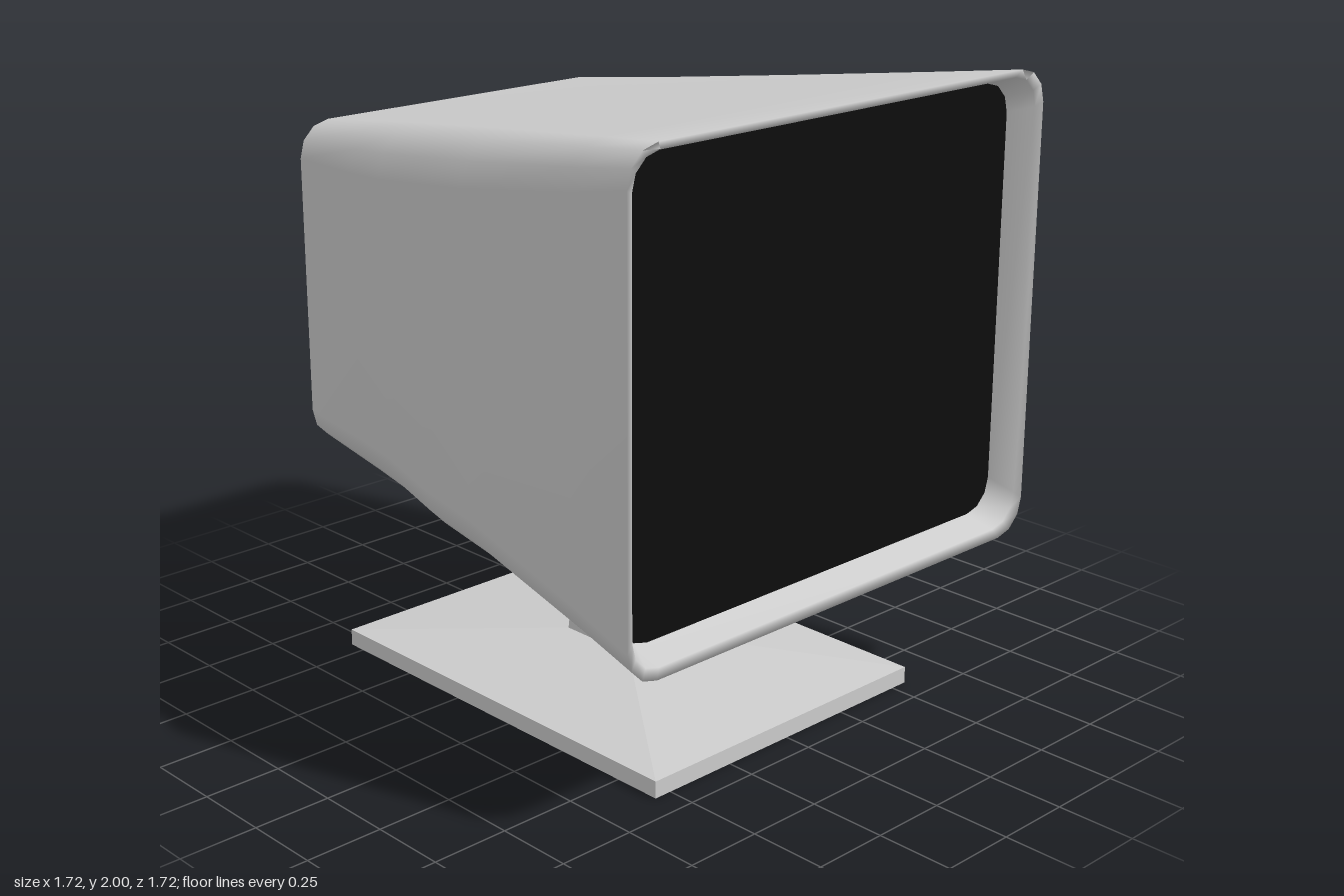
import * as THREE from 'three';

const grey = new THREE.MeshStandardMaterial({ color: 0xcccccc });
const flatGrey = new THREE.MeshStandardMaterial({ color: 0xcccccc, flatShading: true });
const black = new THREE.MeshStandardMaterial({ color: 0x0d0d0d });
const CORNER_STEPS = 3;

// Rounded rectangle in the plane x, counter-clockwise seen from +x
function ring({ x, y0, y1, z, r }) {
  const corners = [[z - r, y0 + r], [z - r, y1 - r], [-z + r, y1 - r], [-z + r, y0 + r]];
  const points = [];
  corners.forEach(([u, v], k) => {
    for (let i = 0; i <= CORNER_STEPS; i++) {
      const a = (k - 1 + i / CORNER_STEPS) * Math.PI / 2;
      points.push([x, v + r * Math.sin(a), -(u + r * Math.cos(a))]);
    }
  });
  return points;
}

function indexed(points, index) {
  const g = new THREE.BufferGeometry();
  g.setAttribute('position', new THREE.Float32BufferAttribute(points.flat(), 3));
  g.setIndex(index);
  g.computeVertexNormals();
  return g;
}

// Skin joining successive rings
function loft(sections) {
  const rings = sections.map(ring);
  const n = rings[0].length;
  const index = [];
  for (let i = 0; i < rings.length - 1; i++) {
    for (let j = 0; j < n; j++) {
      const a = i * n + j, b = i * n + (j + 1) % n;
      index.push(a, b, a + n, b, b + n, a + n);
    }
  }
  return indexed(rings.flat(), index);
}

// Flat panel filling one ring, facing +x or -x
function panel(section, facing) {
  const points = ring(section);
  const index = [];
  for (let j = 1; j < points.length - 1; j++) {
    if (facing > 0) index.push(0, j, j + 1);
    else index.push(0, j + 1, j);
  }
  return indexed(points, index);
}

// Box tapering from a bottom rectangle to a top one: { y, x0, x1, z }
function frustum(bottom, top) {
  const g = new THREE.BoxGeometry(1, 1, 1);
  const p = g.attributes.position;
  for (let i = 0; i < p.count; i++) {
    const e = p.getY(i) > 0 ? top : bottom;
    p.setXYZ(i, p.getX(i) > 0 ? e.x1 : e.x0, e.y, Math.sign(p.getZ(i)) * e.z);
  }
  g.computeVertexNormals();
  return g;
}

export function createModel() {
  const group = new THREE.Group();
  const add = (name, geometry, material) => {
    const mesh = new THREE.Mesh(geometry, material);
    mesh.name = name;
    group.add(mesh);
  };

  // Housing widens from the back to the screen, with a slight swelling over the neck
  const shell = [[-0.86, 0.11, 0], [-0.55, 0.14, 0], [-0.38, 0.15, 0], [-0.17, 0.15, 0.013],
    [0.08, 0.15, 0], [0.6, 0.13, 0], [0.86, 0.11, 0]].map(([x, r, sag]) => {
    const t = (x + 0.86) / 1.72;
    return {
      x, r,
      y0: THREE.MathUtils.lerp(0.73, 0.51, t) - sag,
      y1: THREE.MathUtils.lerp(1.78, 2.0, t),
      z: THREE.MathUtils.lerp(0.64, 0.86, t),
    };
  });

  // Bezel turns inward from the rim to the recessed screen
  const lip = { x: 0.85, y0: 0.54, y1: 1.977, z: 0.833, r: 0.1 };
  const inner = { x: 0.77, y0: 0.578, y1: 1.952, z: 0.802, r: 0.1 };
  add('housing', loft([...shell, lip, inner]), grey);
  add('backPanel', panel(shell[0], -1), grey);
  add('screen', panel(inner, 1), black);

  // Stand
  const foot = { y: 0.115, x0: -0.22, x1: 0.07, z: 0.11 };
  const plate = { y: 0.055, x0: -0.81, x1: 0.66, z: 0.56 };
  add('neck', frustum(foot, { y: 0.66, x0: -0.16, x1: 0.082, z: 0.09 }), flatGrey);
  add('baseTop', frustum(plate, foot), flatGrey);
  add('basePlate', frustum({ ...plate, y: 0 }, plate), flatGrey);

  return group;
}
